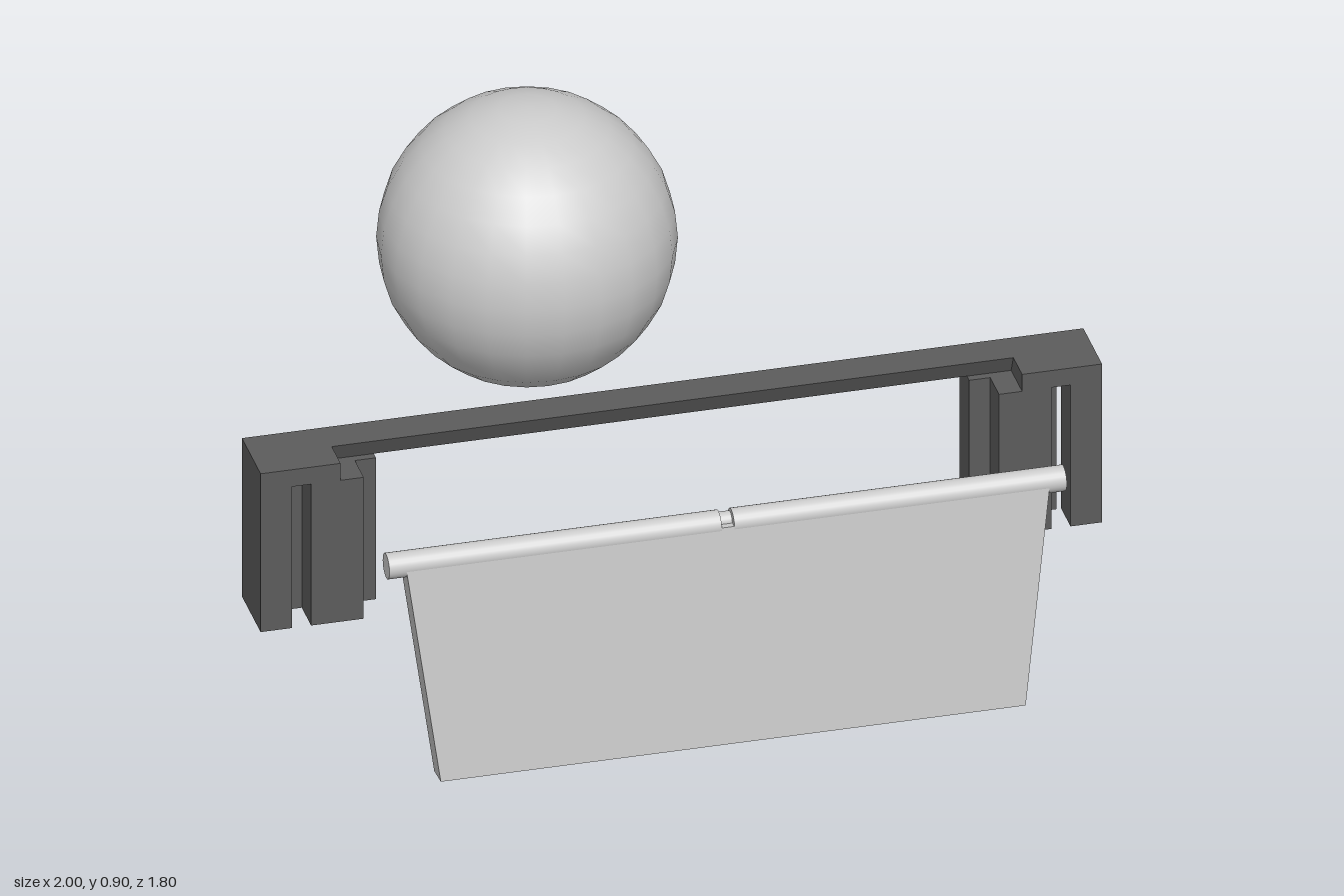
import * as THREE from 'three';

const grey = new THREE.MeshStandardMaterial({ color: 0xcccccc });
const dark = new THREE.MeshStandardMaterial({ color: 0x5c5c5c });

function add(parent, name, geometry, material, x = 0, y = 0, z = 0) {
  const mesh = new THREE.Mesh(geometry, material);
  mesh.name = name;
  mesh.position.set(x, y, z);
  parent.add(mesh);
  return mesh;
}

const points = (list) => list.map(([x, y]) => new THREE.Vector2(x, y));
const mirrorX = (list) => list.map(([x, y]) => [-x, y]).reverse();

// Prism with an outline in (x, z), rising from y0 to y1
function prism(outline, y0, y1) {
  const shape = new THREE.Shape(points(outline.map(([x, z]) => [x, -z])));
  const geo = new THREE.ExtrudeGeometry(shape, { depth: y1 - y0, bevelEnabled: false });
  return geo.rotateX(-Math.PI / 2).translate(0, y0, 0);
}

// Crossbar with two slotted posts
function createFrame() {
  const frame = new THREE.Group();
  frame.name = 'frame';
  const low = 0.23, mid = 0.605, high = 0.65;

  const half = [[1, 0.335], [1, 0.505], [0.81, 0.505], [0.81, 0.425]];
  const bar = prism([...half, ...mirrorX(half)], mid, high);
  // Slightly undercut the front of the bar
  const p = bar.attributes.position;
  for (let i = 0; i < p.count; i++) {
    if (p.getY(i) < 0.61 && Math.abs(p.getZ(i) - 0.425) < 0.001) p.setZ(i, 0.405);
  }
  bar.computeVertexNormals();
  add(frame, 'crossbar', bar, dark);

  // The slot between the two post parts steps sideways halfway through
  const outer = [[1, 0.335], [1, 0.505], [0.925, 0.505], [0.925, 0.42], [0.96, 0.42], [0.96, 0.335]];
  const inner = [[0.705, 0.335], [0.914, 0.335], [0.914, 0.42], [0.88, 0.42],
    [0.88, 0.505], [0.755, 0.505], [0.755, 0.425], [0.705, 0.425]];
  for (const [side, flip] of [['left', (o) => o], ['right', mirrorX]]) {
    add(frame, side + 'PostOuter', prism(flip(outer), low, mid), dark);
    add(frame, side + 'PostInner', prism(flip(inner), low, mid), dark);
  }
  return frame;
}

// Tilted barred gate hanging from a round rod
function createGate() {
  const gate = new THREE.Group();
  gate.name = 'gate';
  const top = 0.55, winLow = 0.05, winHigh = 0.46, eye = 0.145, eyeR = 0.033, slot = 0.015;

  // Window edges: inner bottom, inner top, outer bottom, outer top
  const windows = [
    [0.528, 0.528, 0.66, 0.71],
    [0.432, 0.48, 0.485, 0.485],
    [0.39, 0.437, 0.26, 0.26],
    [0.164, 0.207, 0.218, 0.218],
    [0.12, 0.17, 0.043, 0.043],
  ];

  function panel(grooved) {
    const shape = new THREE.Shape(points([[-0.695, 0], [0.695, 0], [0.765, top], [-0.765, top]]));
    for (const [a, b, c, d] of windows) {
      const w = [[a, winLow], [c, winLow], [d, winHigh], [b, winHigh]];
      shape.holes.push(new THREE.Path(points(w)), new THREE.Path(points(mirrorX(w))));
    }
    const hole = new THREE.Path();
    if (grooved) {
      // Keyhole: the eye joined to a narrow groove
      const a = Math.acos(slot / eyeR);
      hole.absarc(0, eye, eyeR, Math.PI - a, 2 * Math.PI + a, false);
      hole.lineTo(slot, top - 0.004);
      hole.lineTo(-slot, top - 0.004);
      hole.closePath();
    } else {
      hole.absarc(0, eye, eyeR, 0, 2 * Math.PI, true);
    }
    shape.holes.push(hole);
    return new THREE.ExtrudeGeometry(shape, {
      depth: grooved ? 0.02 : 0.04, bevelEnabled: false, curveSegments: 20,
    });
  }
  add(gate, 'backPanel', panel(false), grey, 0, 0, -0.03);
  add(gate, 'frontPanel', panel(true), grey, 0, 0, 0.01);

  // Rod, with a groove at the middle of its front
  const rodHalf = 0.805, len = rodHalf - slot;
  for (const s of [-1, 1]) {
    const rod = new THREE.CylinderGeometry(0.031, 0.031, len, 24).rotateZ(Math.PI / 2);
    add(gate, s > 0 ? 'leftRod' : 'rightRod', rod, grey, s * (slot + len / 2), top, 0);
  }
  const core = new THREE.CylinderGeometry(0.021, 0.021, slot * 2, 24).rotateZ(Math.PI / 2);
  add(gate, 'rodCore', core, grey, 0, top, -0.01);

  gate.position.set(0.02, 0.003, 0.87);
  gate.rotation.x = -0.085;
  return gate;
}

export function createModel() {
  const model = new THREE.Group();
  model.name = 'model';
  model.add(createFrame(), createGate());
  add(model, 'ball', new THREE.SphereGeometry(0.347, 24, 16), grey, -0.09, 0.557, -0.553);
  return model;
}
